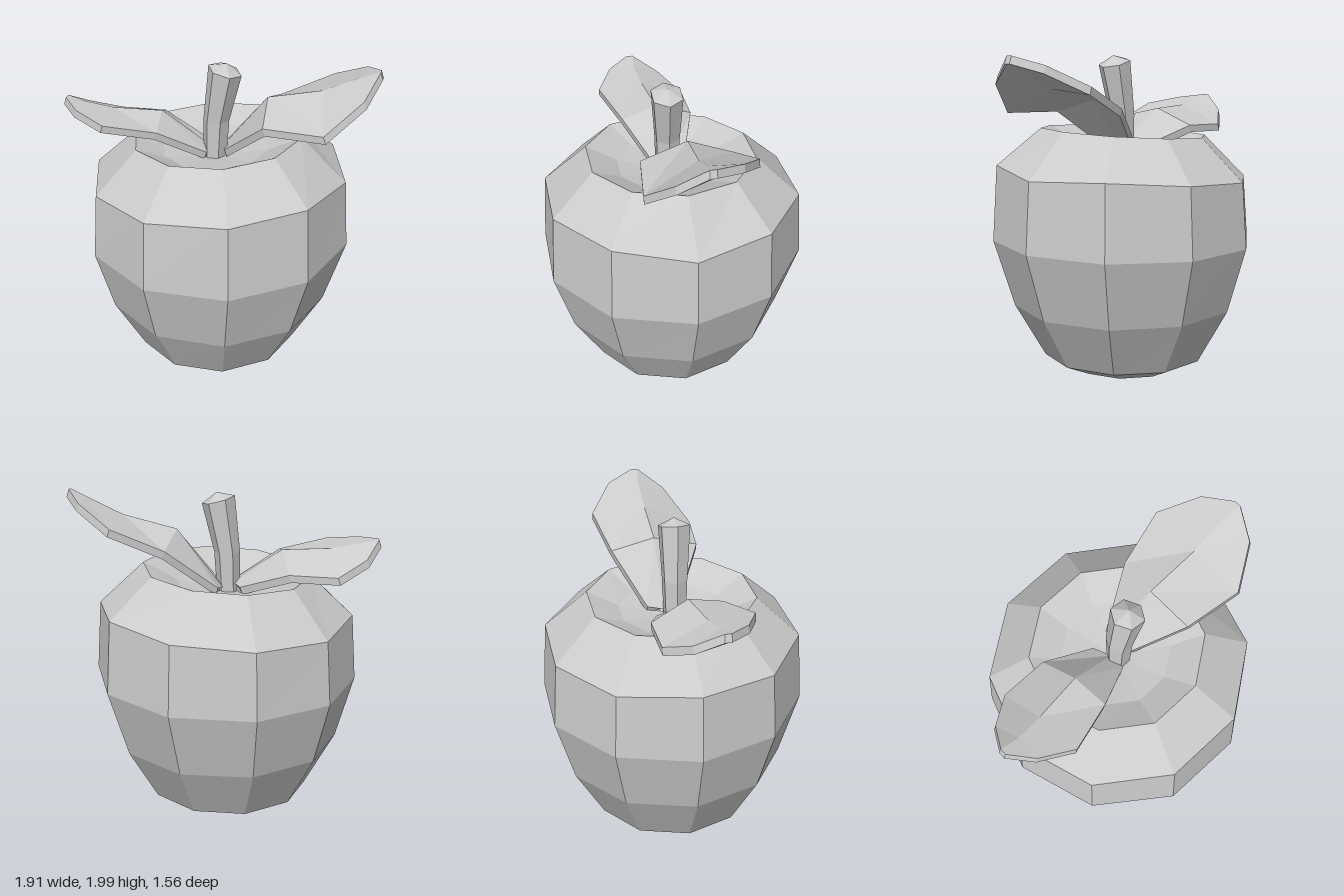
import * as THREE from 'three';

const material = new THREE.MeshStandardMaterial({ color: 0xcccccc, flatShading: true });

// Skin a list of point rings; a ring of a single point closes the surface.
function loft(name, rings) {
  const pos = [];
  const tri = (...pts) => pts.forEach(p => pos.push(...p));
  for (let i = 0; i < rings.length - 1; i++) {
    const lo = rings[i], hi = rings[i + 1];
    const n = Math.max(lo.length, hi.length);
    for (let j = 0; j < n; j++) {
      const k = (j + 1) % n;
      const a = lo[j % lo.length], b = lo[k % lo.length];
      const c = hi[j % hi.length], d = hi[k % hi.length];
      if (lo.length > 1) tri(a, c, b);
      if (hi.length > 1) tri(b, c, d);
    }
  }
  const geo = new THREE.BufferGeometry();
  geo.setAttribute('position', new THREE.Float32BufferAttribute(pos, 3));
  geo.computeVertexNormals();
  const mesh = new THREE.Mesh(geo, material);
  mesh.name = name;
  return mesh;
}

// Horizontal polygon, optionally tilted along x and z.
function ring(sides, r, x, y, z = 0, tiltX = 0, tiltZ = 0) {
  return Array.from({ length: sides }, (_, i) => {
    const a = (i / sides) * Math.PI * 2;
    const dx = Math.cos(a) * r, dz = Math.sin(a) * r;
    return [x + dx, y + dx * tiltX + dz * tiltZ, z + dz];
  });
}

const centroid = pts => [0, 1, 2].map(k => pts.reduce((s, p) => s + p[k], 0) / pts.length);

// Leaf from cross-sections of front edge, midrib and back edge, given thickness.
function leaf(name, sections, dir) {
  const rings = sections.map(s => {
    const under = s.map(([x, y, z]) => [x + dir * 0.015, y - 0.045, z]);
    return [...s, ...under.reverse()];
  });
  rings.unshift([centroid(rings[0])]);
  rings.push([centroid(rings[rings.length - 1])]);
  if (dir < 0) rings.reverse();
  return loft(name, rings);
}

export function createModel() {
  const group = new THREE.Group();
  group.name = 'apple';

  // Fruit: ten-sided body with hollows at both ends and a slightly slanted shoulder
  const shoulder = ring(10, 0.79, -0.01, 1.27, 0, 0.065, 0.02);
  shoulder[0][1] -= 0.04;
  shoulder[5][1] += 0.02;
  group.add(loft('fruit', [
    [[-0.04, 0.1, 0]],
    ring(10, 0.34, -0.04, 0.01),
    ring(10, 0.51, -0.02, 0.09, 0, 0.015),
    ring(10, 0.7, -0.02, 0.43),
    ring(10, 0.82, -0.01, 0.84, 0, 0.015),
    shoulder,
    ring(10, 0.52, -0.02, 1.515, 0, 0.06, 0.02),
    ring(10, 0.33, -0.03, 1.43, 0, 0.05),
    [[-0.03, 1.37, 0]],
  ]));

  // Stem: bent six-sided stalk with a domed end
  group.add(loft('stem', [
    [[-0.03, 1.33, 0.02]],
    ring(6, 0.07, -0.03, 1.33, 0.02),
    ring(6, 0.08, -0.02, 1.62, 0.02),
    ring(6, 0.1, 0.035, 1.94, 0.03, -0.26),
    [[0.045, 1.985, 0.03]],
  ]));

  // Leaves: base, three sections and tip, each as front edge, midrib, back edge
  const tip = (x, y, z) => [0.02, 0, -0.02].map(d => [x, y, z + d]);
  group.add(leaf('leftLeaf', [
    [[0.04, 1.44, 0.06], [0, 1.41, -0.04], [0.02, 1.43, -0.14]],
    [[0.31, 1.69, 0.24], [0.28, 1.77, -0.04], [0.32, 1.69, -0.3]],
    [[0.67, 1.7, 0.285], [0.61, 1.85, -0.03], [0.63, 1.83, -0.365]],
    [[0.87, 1.88, 0.15], [0.82, 1.95, -0.03], [0.84, 1.95, -0.22]],
    tip(0.935, 2, -0.03),
  ], 1));
  group.add(leaf('rightLeaf', [
    [[-0.06, 1.43, 0.1], [-0.06, 1.43, 0], [-0.11, 1.43, -0.11]],
    [[-0.33, 1.59, 0.24], [-0.36, 1.64, 0.02], [-0.41, 1.54, -0.21]],
    [[-0.63, 1.645, 0.34], [-0.66, 1.645, 0.06], [-0.7, 1.53, -0.21]],
    [[-0.83, 1.68, 0.24], [-0.83, 1.675, 0.08], [-0.87, 1.61, -0.08]],
    tip(-0.945, 1.7, 0.09),
  ], -1));

  return group;
}
